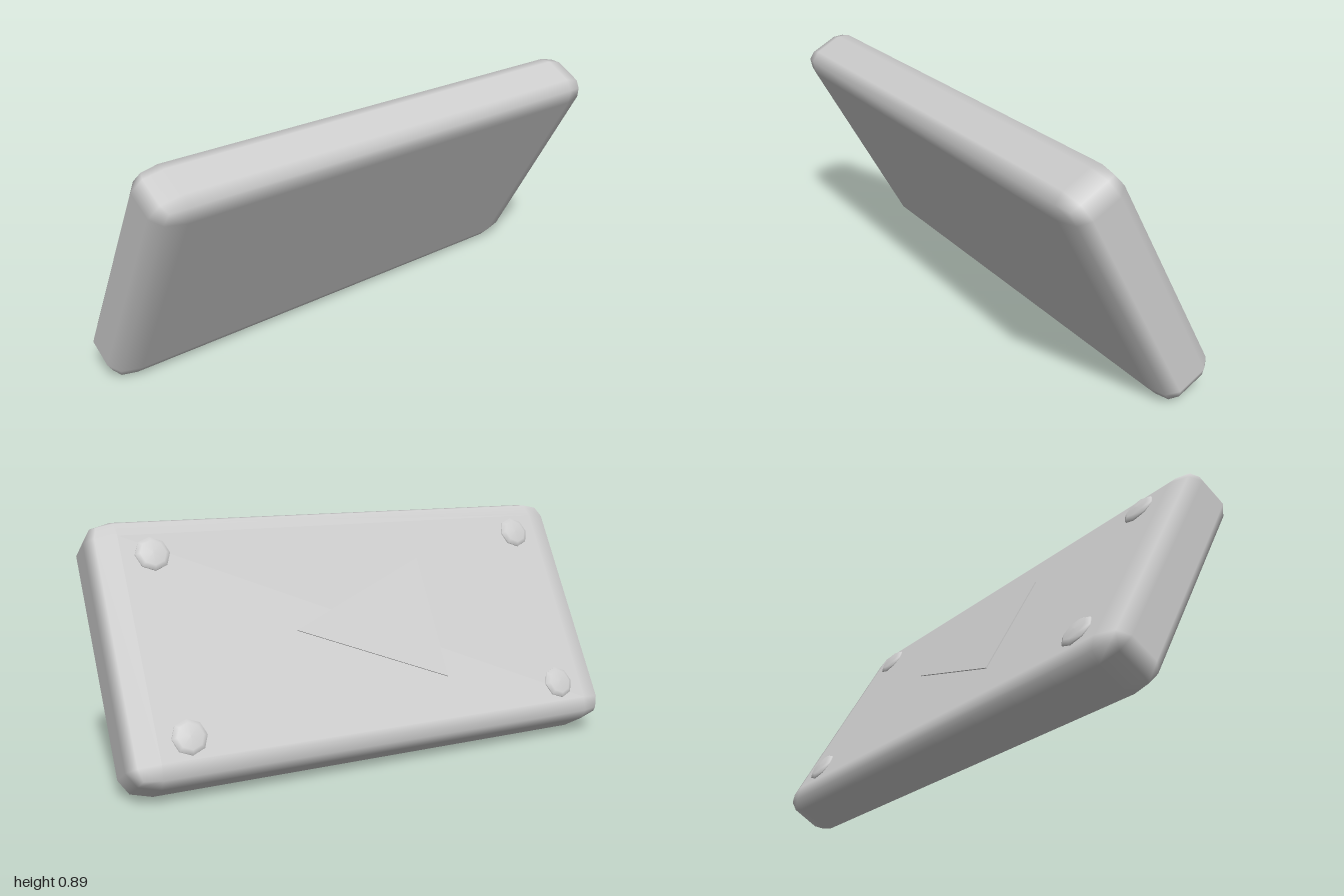
import * as THREE from 'three';
import { RoundedBoxGeometry } from 'three/addons/geometries/RoundedBoxGeometry.js';

const HALF = { x: 0.48, y: 0.113, z: 1.0 };       // slab half sizes
const BEVEL = { x: 0.074, y: 0.058, z: 0.108 };   // edge bevel along each axis

export function createModel() {
  const grey = new THREE.MeshStandardMaterial({ color: 0xcccccc });
  grey.name = 'light grey';

  // Everything is built lying flat, then the whole slab is tilted
  const model = new THREE.Group();
  model.name = 'tiltedSlab';
  const slab = new THREE.Group();
  slab.name = 'slab';
  slab.rotation.z = THREE.MathUtils.degToRad(61);
  slab.position.y = 0.455;
  model.add(slab);

  const add = (name, geometry, x = 0, y = 0, z = 0) => {
    const mesh = new THREE.Mesh(geometry, grey);
    mesh.name = name;
    mesh.position.set(x, y, z);
    slab.add(mesh);
  };

  // Body: two-step bevel of radius 1, scaled to the bevel of each axis
  const body = new RoundedBoxGeometry(
    (2 * HALF.x) / BEVEL.x, (2 * HALF.y) / BEVEL.y, (2 * HALF.z) / BEVEL.z, 1, 1);
  body.scale(BEVEL.x, BEVEL.y, BEVEL.z);
  add('body', body);

  // Four round buttons with a sloped rim
  const profile = [[0.063, 0], [0.063, 0.006], [0.047, 0.015], [0, 0.017]]
    .map(([r, y]) => new THREE.Vector2(r, y));
  const button = new THREE.LatheGeometry(profile, 8);
  for (const sx of [-1, 1]) {
    for (const sz of [-1, 1]) add('button', button, sx * 0.33, HALF.y - 0.001, sz * 0.782);
  }

  // Thin raised triangle in the middle of the face
  const triangle = new THREE.Shape([
    new THREE.Vector2(-0.244, -0.275),
    new THREE.Vector2(0.244, -0.275),
    new THREE.Vector2(0, 0.305),
  ]);
  const plate = new THREE.ExtrudeGeometry(triangle, { depth: 0.006, bevelEnabled: false });
  plate.rotateX(-Math.PI / 2);
  add('trianglePlate', plate, 0, HALF.y - 0.002, 0);

  return model;
}
